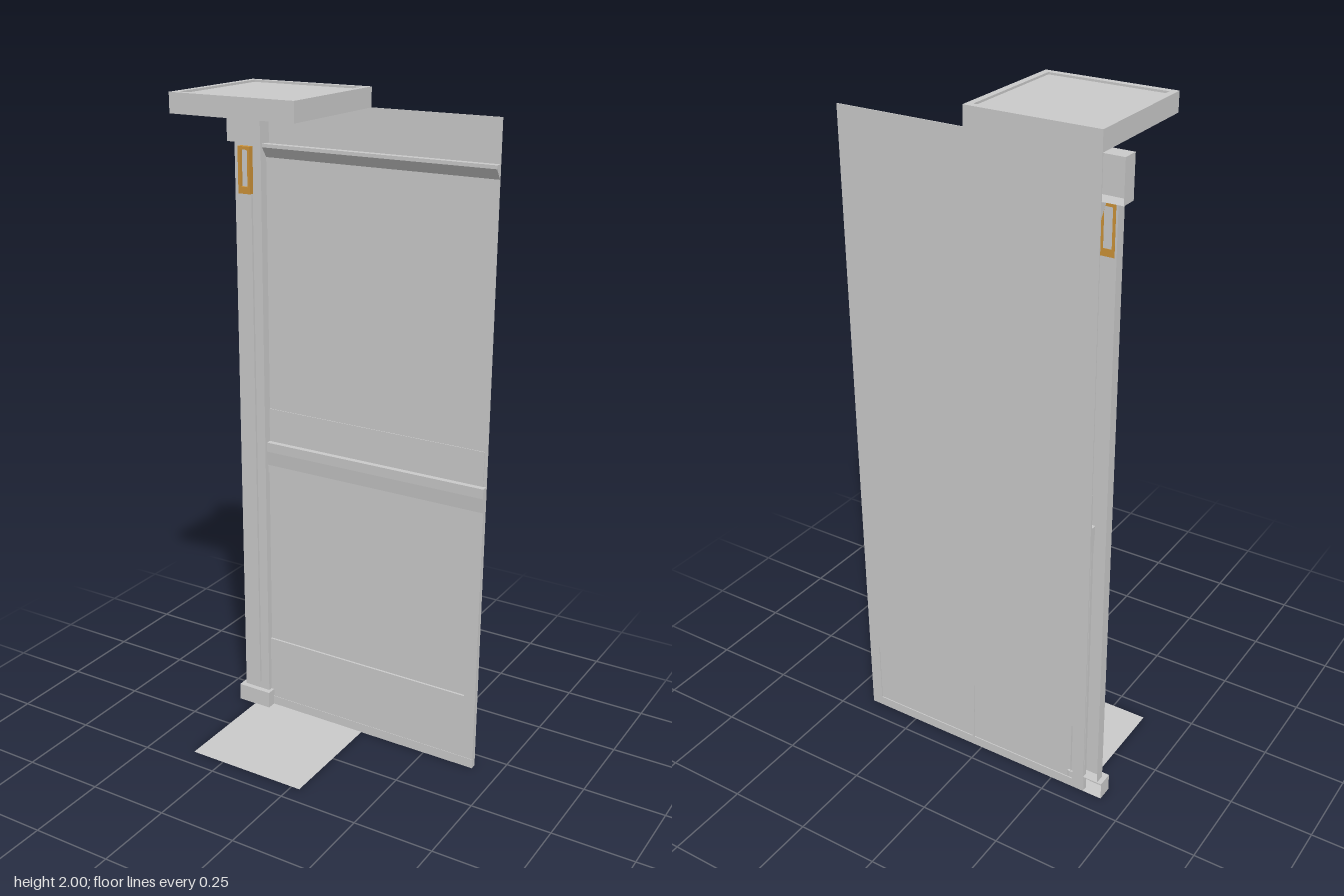
import * as THREE from 'three';

export function createModel() {
  const root = new THREE.Group();
  root.name = 'wallSection';

  const plaster = new THREE.MeshStandardMaterial({ color: 0xcacaca, side: THREE.DoubleSide });
  plaster.name = 'plaster grey';
  const brass = new THREE.MeshStandardMaterial({ color: 0xcc9238, side: THREE.DoubleSide });
  brass.name = 'brass';

  const BACK = -0.194, FACE = -0.191, LEFT = -0.359, RIGHT = 0.417, TOP = 1.945;

  const add = (name, geometry, material = plaster) => {
    const m = new THREE.Mesh(geometry, material);
    m.name = name;
    root.add(m);
    return m;
  };
  // Box given by its limits; openBack leaves out the rear face
  const box = (name, x0, x1, y0, y1, z0, z1, openBack = false) => {
    const g = new THREE.BoxGeometry(x1 - x0, y1 - y0, z1 - z0);
    if (openBack) {
      g.setIndex(Array.from(g.index.array).slice(0, 30));
      g.clearGroups();
    }
    g.translate((x0 + x1) / 2, (y0 + y1) / 2, (z0 + z1) / 2);
    return add(name, g);
  };
  const rect = (T, x0, x1, y0, y1) => new T([
    [x0, y0], [x1, y0], [x1, y1], [x0, y1]].map(p => new THREE.Vector2(...p)));
  // Plate in the xy plane with rectangular holes
  const plate = (x0, x1, y0, y1, depth, holes) => {
    const s = rect(THREE.Shape, x0, x1, y0, y1);
    holes.forEach(h => s.holes.push(rect(THREE.Path, ...h)));
    return new THREE.ExtrudeGeometry(s, { depth, bevelEnabled: false });
  };
  // Moulding with a (z, y) profile running along the wall
  const moulding = (name, points) => {
    const s = new THREE.Shape(points.map(([z, y]) => new THREE.Vector2(-z, y)));
    const g = new THREE.ExtrudeGeometry(s, { depth: RIGHT - LEFT, bevelEnabled: false });
    g.rotateY(Math.PI / 2).translate(LEFT, 0, 0);
    return add(name, g);
  };

  // Wall: thin sheet with two openings at the back of the wainscot
  add('wall', plate(LEFT, RIGHT, 0, TOP, FACE - BACK,
    [[-0.322, 0.026, 0.03, 0.23], [0.034, 0.382, 0.03, 0.23]]).translate(0, 0, BACK));

  // Wainscot with a sunken panel, skirting, chair rail and the strip above it
  add('wainscot', plate(LEFT, RIGHT, 0, 0.85, 0.01,
    [[-0.35, 0.38, 0.24, 0.82]]).translate(0, 0, -0.187));
  box('sunkenPanel', -0.35, 0.38, 0.24, 0.82, -0.187, -0.184);
  box('skirting', LEFT, RIGHT, 0, 0.03, -0.178, -0.1755);
  moulding('chairRail', [
    [FACE, 0.845], [-0.177, 0.845], [-0.172, 0.89], [-0.171, 0.92], [FACE, 0.92],
  ]);
  box('railStrip', LEFT, 0.408, 0.92, 1.025, FACE, -0.1885);

  // Cornice projecting below the plain frieze
  moulding('cornice', [
    [FACE, 1.785], [-0.17, 1.815], [-0.17, 1.825], [FACE, 1.825],
  ]);

  // Pilaster shell with a raised central rib
  box('pilasterShaft', -0.405, -0.315, 0.055, 1.828, BACK, -0.163, true);
  box('pilasterRib', -0.381, -0.345, 0.08, 1.815, -0.163, -0.156, true);
  box('pilasterBase', -0.419, -0.305, 0, 0.055, BACK, -0.146, true);
  box('pilasterCapital', -0.419, -0.305, 1.828, TOP, BACK, -0.146, true);

  // Brass frame round the top of the rib
  add('lampFrame', plate(-0.383, -0.343, 1.682, 1.817, 0.018,
    [[-0.375, -0.351, 1.702, 1.808]]).translate(0, 0, -0.164), brass);

  // Ceiling tile with a shallow sunken top, and the floor tile
  const X0 = LEFT, X1 = 0.028, Z1 = 0.194;
  box('ceilingTile', X0, X1, TOP, 1.994, BACK, Z1);
  add('ceilingRim', plate(X0, X1, -Z1, Z1, 0.006,
    [[X0 + 0.019, X1 - 0.019, -Z1 + 0.019, Z1 - 0.019]])
    .rotateX(-Math.PI / 2).translate(0, 1.994, 0));
  add('floorTile', new THREE.PlaneGeometry(X1 - X0, 2 * Z1)
    .rotateX(-Math.PI / 2).translate((X0 + X1) / 2, 0.001, 0));

  return root;
}
